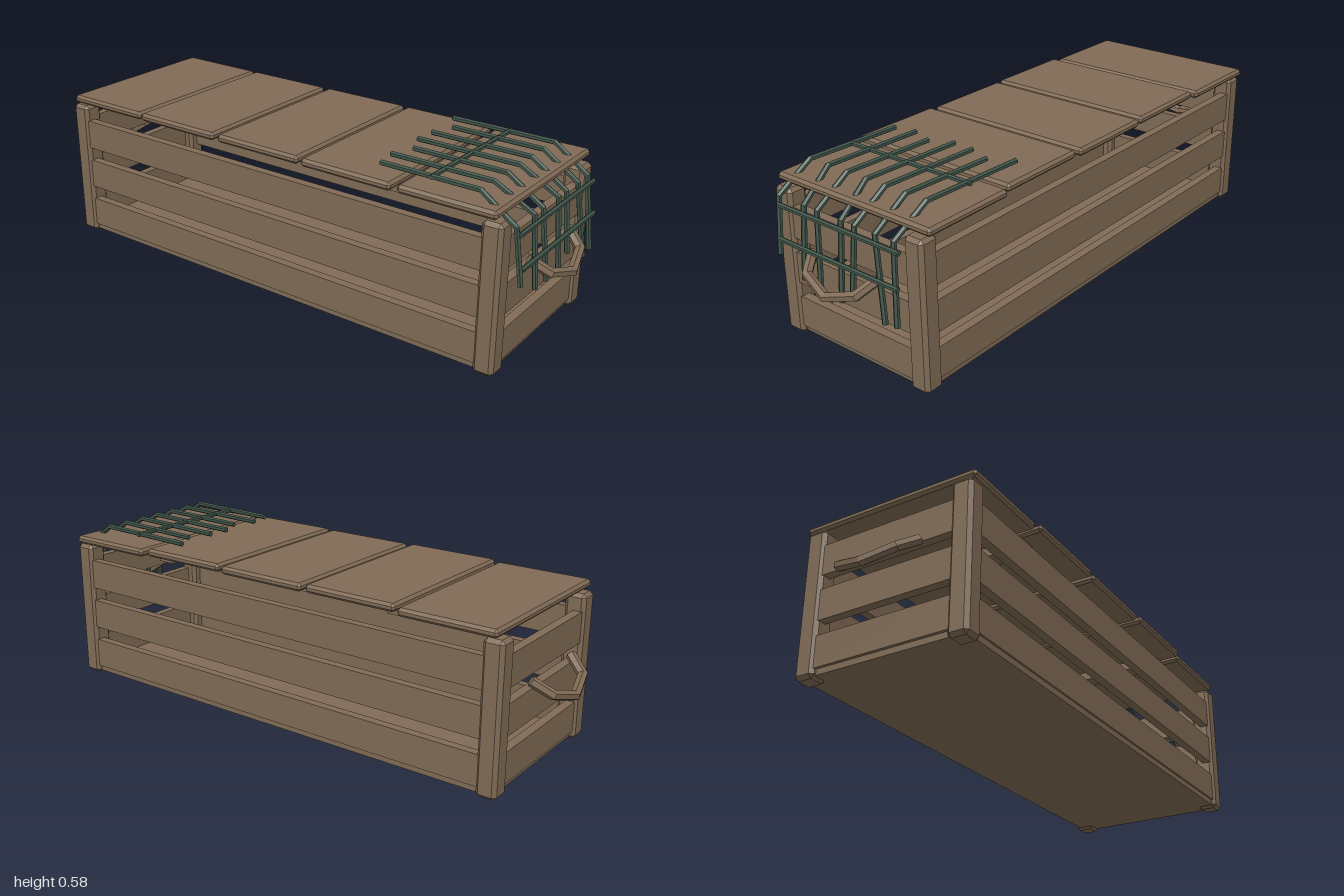
import * as THREE from 'three';
import { ConvexGeometry } from 'three/addons/geometries/ConvexGeometry.js';

// Box with chamfered edges, centred on the origin
function chamferBox(w, h, d, c) {
  const pts = [];
  for (const sx of [-1, 1]) for (const sy of [-1, 1]) for (const sz of [-1, 1]) {
    const x = w / 2, y = h / 2, z = d / 2;
    pts.push(
      new THREE.Vector3(sx * x, sy * (y - c), sz * (z - c)),
      new THREE.Vector3(sx * (x - c), sy * y, sz * (z - c)),
      new THREE.Vector3(sx * (x - c), sy * (y - c), sz * z));
  }
  return new ConvexGeometry(pts);
}

// Straight segments joined with mitred corners
class Polyline extends THREE.Curve {
  constructor(points) {
    super();
    this.pts = points.map(p => new THREE.Vector3(...p));
  }
  getPointAt(u) {
    const s = u * (this.pts.length - 1);
    const i = Math.min(Math.floor(s + 1e-6), this.pts.length - 2);
    return this.pts[i].clone().lerp(this.pts[i + 1], s - i);
  }
  getPoint(t) { return this.getPointAt(t); }
  getTangentAt(u) {
    const i = Math.round(u * (this.pts.length - 1)), t = new THREE.Vector3();
    for (const k of [i - 1, i]) {
      if (k < 0 || k > this.pts.length - 2) continue;
      t.add(this.pts[k + 1].clone().sub(this.pts[k]).normalize());
    }
    return t.normalize();
  }
}

// Faceted bar along a polyline with closed ends
function bar(points, radius, sides) {
  const n = points.length - 1;
  const geo = new THREE.TubeGeometry(new Polyline(points), n, radius, sides, false);
  const index = Array.from(geo.index.array), e = n * (sides + 1);
  for (let i = 1; i < sides - 1; i++) index.push(0, i, i + 1, e, e + i + 1, e + i);
  geo.setIndex(index);
  const flat = geo.toNonIndexed();
  flat.computeVertexNormals();
  return flat;
}

export function createModel() {
  const wood = new THREE.MeshStandardMaterial({ color: 0x806b55 });
  wood.name = 'wood';
  const iron = new THREE.MeshStandardMaterial({ color: 0x40554a });
  iron.name = 'dark green metal';

  const model = new THREE.Group();
  model.name = 'crate';
  const add = (name, geo, mat, x = 0, y = 0, z = 0) => {
    const m = new THREE.Mesh(geo, mat);
    m.name = name;
    m.position.set(x, y, z);
    model.add(m);
    return m;
  };

  // Corner posts
  const post = chamferBox(0.07, 0.503, 0.072, 0.012);
  for (const sx of [-1, 1]) for (const sz of [-1, 1])
    add('cornerPost', post, wood, sx * 0.853, 0.2515, sz * 0.271);

  // Floor
  add('floor', new THREE.BoxGeometry(1.74, 0.022, 0.585), wood, 0, 0.02, 0);

  // Three rows of slats on all four sides
  const sideSlat = new THREE.BoxGeometry(1.66, 0.106, 0.03);
  const endSlat = new THREE.BoxGeometry(0.03, 0.106, 0.5);
  for (const y of [0.082, 0.238, 0.393]) for (const s of [-1, 1]) {
    add('sideSlat', sideSlat, wood, 0, y, s * 0.284);
    add('endSlat', endSlat, wood, s * 0.865, y, 0);
  }

  // Lid planks, slightly uneven: [x centre, y centre, z centre]
  const plank = chamferBox(0.336, 0.028, 0.632, 0.009);
  for (const [x, y, z] of [
    [-0.706, 0.525, -0.007], [-0.355, 0.529, 0.003], [-0.003, 0.528, -0.001],
    [0.35, 0.529, 0.005], [0.701, 0.525, -0.007],
  ]) add('lidPlank', plank, wood, x, y, z);

  // Battens under the lid
  const batten = new THREE.BoxGeometry(0.063, 0.034, 0.49);
  for (const s of [-1, 1]) add('lidBatten', batten, wood, s * 0.488, 0.501, 0);

  // Handles on both ends
  for (const s of [-1, 1]) {
    const path = [
      [0.897, 0.335, 0.138], [0.955, 0.293, 0.103], [0.98, 0.264, 0],
      [0.955, 0.293, -0.103], [0.897, 0.335, -0.138],
    ].map(([x, y, z]) => [s * x, y, z]);
    add('handle', bar(path, 0.017, 6), wood);
  }

  // Bent grille rods: [start x, start z, top bend z, lower bend z, end z, end y]
  for (const [x, z0, z1, z2, z3, y3] of [
    [0.435, 0.24, 0.251, 0.259, 0.25, 0.303],
    [0.42, 0.16, 0.17, 0.147, 0.147, 0.25],
    [0.45, 0.078, 0.088, 0.09, 0.075, 0.248],
    [0.415, -0.003, 0.008, -0.012, -0.014, 0.23],
    [0.42, -0.082, -0.071, -0.067, -0.066, 0.285],
    [0.45, -0.165, -0.153, -0.15, -0.193, 0.222],
    [0.405, -0.245, -0.233, -0.223, -0.241, 0.23],
  ]) {
    add('grilleRod', bar([
      [x, 0.565, z0], [0.785, 0.568, z1], [0.908, 0.487, z2], [0.93, y3, z3],
    ], 0.0095, 6), iron);
  }

  // Grille cross bars: [x, y]
  for (const [x, y] of [[0.618, 0.566], [0.918, 0.463], [0.929, 0.354]])
    add('grilleCrossBar', bar([[x, y, 0.252], [x, y, -0.252]], 0.0085, 6), iron);

  return model;
}
